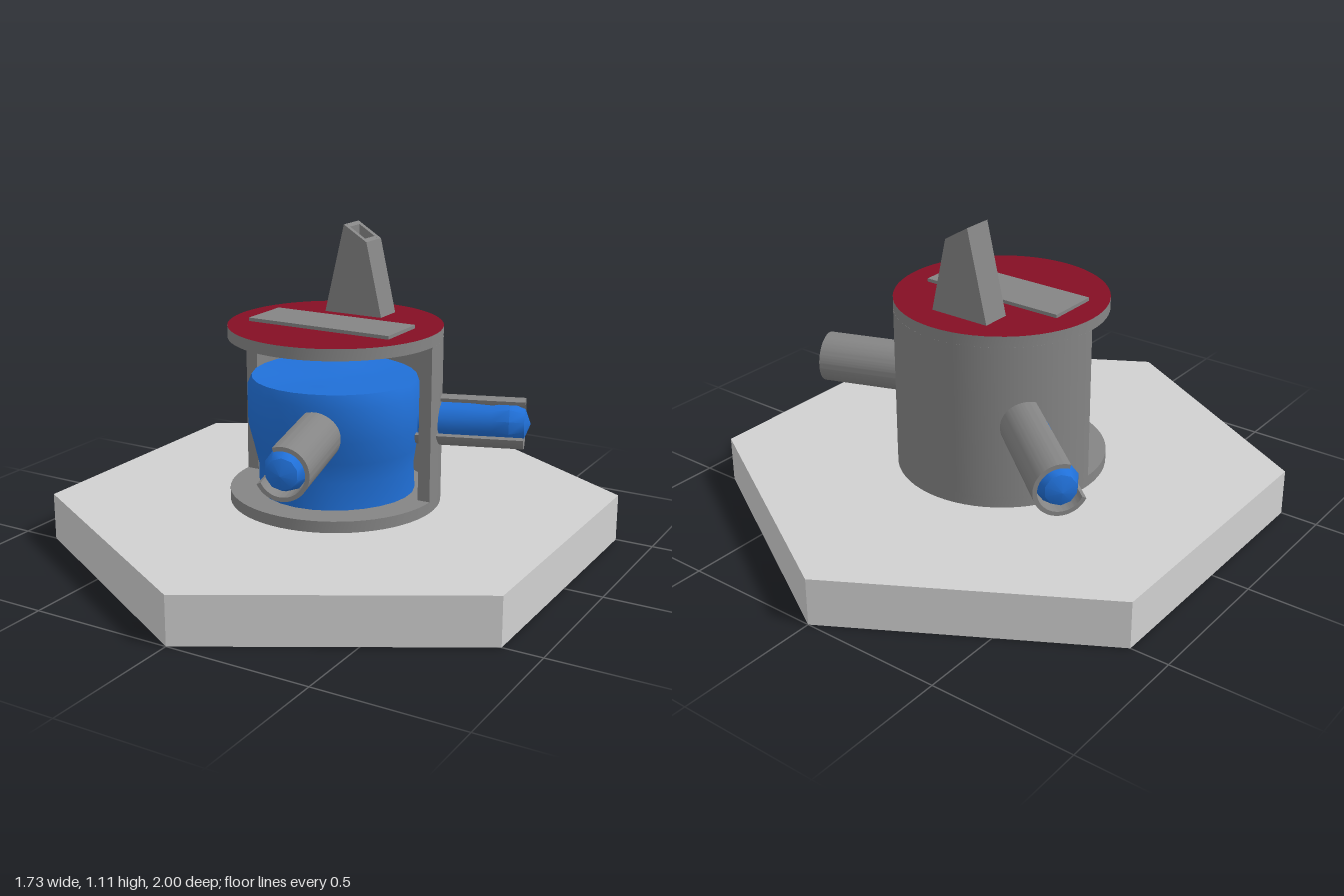
import * as THREE from 'three';
import { toCreasedNormals } from 'three/addons/utils/BufferGeometryUtils.js';

const mat = (name, color) => Object.assign(new THREE.MeshStandardMaterial({ color }), { name });

export function createModel() {
  const root = new THREE.Group();
  const stone = mat('light grey', 0xd0d0d0);
  const grey = mat('mid grey', 0x858585);
  const red = mat('dark red', 0x850f24);
  const blue = mat('blue', 0x2070d8);

  const add = (name, geo, material, parent = root, crease = 0.6) => {
    const mesh = new THREE.Mesh(crease ? toCreasedNormals(geo, crease) : geo, material);
    mesh.name = name;
    parent.add(mesh);
    return mesh;
  };

  // Curved wall: part of a ring, extruded along z
  const arcWall = (outer, inner, from, to, length) => {
    const s = new THREE.Shape();
    s.absarc(0, 0, outer, from, to, false);
    s.absarc(0, 0, inner, to, from, true);
    return new THREE.ExtrudeGeometry(s, { depth: length, bevelEnabled: false, curveSegments: 40 });
  };
  // Flat outline extruded from z0 to z1
  const slab = (points, z0, z1) => new THREE.ExtrudeGeometry(
    new THREE.Shape(points.map(([x, y]) => new THREE.Vector2(x, y))),
    { depth: z1 - z0, bevelEnabled: false }).translate(0, 0, z0);
  const lathe = (points, sides) =>
    new THREE.LatheGeometry(points.map(([r, y]) => new THREE.Vector2(r, y)), sides);

  // Hexagonal base
  add('hexBase', new THREE.CylinderGeometry(1, 1, 0.167, 6).translate(0, 0.0835, 0), stone);

  // Drum: floor, half-round back wall, lid with a red top face
  add('drumFloor', new THREE.CylinderGeometry(0.37, 0.37, 0.04, 64).translate(0, 0.187, 0), grey);
  add('drumWall', arcWall(0.37, 0.325, 0, Math.PI, 0.544).rotateX(-Math.PI / 2).translate(0, 0.207, 0), grey);
  add('drumLid', new THREE.CylinderGeometry(0.37, 0.37, 0.04, 64).translate(0, 0.77, 0), [grey, red, grey]);
  add('lidPlate', new THREE.BoxGeometry(0.545, 0.012, 0.19).translate(-0.002, 0.796, 0.027), grey);

  // Blue filling with an uneven surface
  const fill = lathe([[0, 0.207], [0.275, 0.207], [0.272, 0.3], [0.285, 0.37], [0.303, 0.45],
    [0.305, 0.57], [0.29, 0.61], [0.15, 0.603], [0, 0.6]], 28);
  const p = fill.attributes.position;
  for (let i = 0; i < p.count; i++) {
    const x = p.getX(i), y = p.getY(i), z = p.getZ(i);
    const a = Math.atan2(x, z);
    const k = 1 + 0.018 * Math.sin(3 * a + 9 * y) - 0.03 * Math.cos(a) ** 2;
    p.setXYZ(i, x * k, y > 0.59 ? y + 0.005 * Math.sin(2 * a) : y, z * k);
  }
  add('drumFilling', fill, blue, root, 0.7);

  // Hollow tapered chimney with a slanted mouth
  const chimney = new THREE.Group();
  chimney.name = 'chimney';
  root.add(chimney);
  const side = [[-0.13, 0.79], [0.095, 0.79], [0.035, 1.05], [-0.055, 1.105]];
  add('chimneyBack', slab(side, -0.255, -0.235), grey, chimney);
  add('chimneyFront', slab(side, -0.168, -0.15), grey, chimney);
  add('chimneyRightWall', slab([[-0.13, 0.79], [-0.04, 0.79], [-0.04, 1.096], [-0.055, 1.105]],
    -0.235, -0.168), grey, chimney);
  add('chimneyLeftWall', slab([[0.02, 0.79], [0.095, 0.79], [0.035, 1.05], [0.02, 1.059]],
    -0.235, -0.168), grey, chimney);

  // Three radial channels, each open along one upper side and filled with blue
  const start = 0.25;
  const deg = Math.PI / 180;
  const channels = [
    { name: 'frontChannel', dir: [0.28, 0.96], reach: 0.672, solid: [205, 470] },
    { name: 'leftChannel', dir: [0.945, -0.335], reach: 0.655, solid: [205, 470] },
    { name: 'rightChannel', dir: [-0.765, -0.645], reach: 0.797, solid: [70, 335] },
  ];
  for (const { name, dir, reach, solid } of channels) {
    const g = new THREE.Group();
    g.name = name;
    g.position.y = 0.468;
    g.rotation.y = Math.atan2(dir[0], dir[1]);
    root.add(g);
    add(name + 'Shell', arcWall(0.088, 0.074, solid[0] * deg, solid[1] * deg, reach - start)
      .translate(0, 0, start), grey, g);
    const core = lathe([[0, start], [0.06, start], [0.066, start + 0.16], [0.058, reach - 0.11],
      [0.071, reach - 0.05], [0.052, reach], [0, reach + 0.02]], 10).rotateX(Math.PI / 2);
    add(name + 'Filling', core, blue, g, 0.7);
  }
  return root;
}
